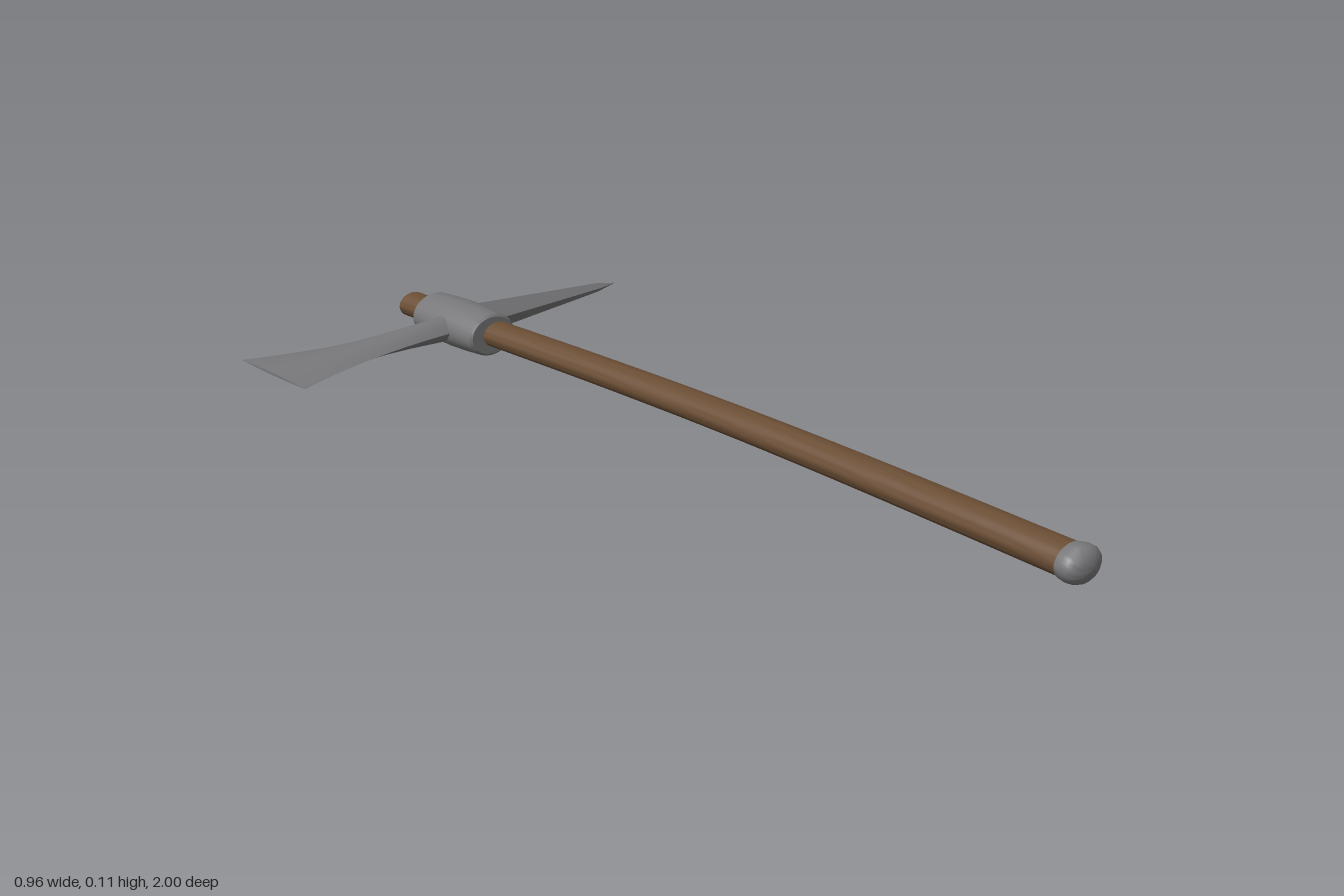
import * as THREE from 'three';
import { toCreasedNormals } from 'three/addons/utils/BufferGeometryUtils.js';

const MID_Y = 0.055;
const HEAD_Z = -0.803;

// Skins a list of closed rings (counter-clockwise about the travel direction) and caps both ends.
function loft(rings, crease) {
  const n = rings[0].length;
  const points = rings.flat();
  const index = [];
  for (let i = 0; i < rings.length - 1; i++) {
    for (let j = 0; j < n; j++) {
      const a = i * n + j, b = i * n + (j + 1) % n;
      index.push(a, b, b + n, a, b + n, a + n);
    }
  }
  const last = (rings.length - 1) * n;
  for (let j = 1; j < n - 1; j++) {
    index.push(0, j + 1, j, last, last + j, last + j + 1);
  }
  const geometry = new THREE.BufferGeometry().setFromPoints(points);
  geometry.setIndex(index);
  return toCreasedNormals(geometry, crease);
}

// Elliptical ring in the xy plane
function ellipse(z, x, rx, ry, sides = 32) {
  return Array.from({ length: sides }, (_, j) => {
    const a = (j / sides) * Math.PI * 2;
    return new THREE.Vector3(x + rx * Math.cos(a), MID_Y + ry * Math.sin(a), z);
  });
}

// Sharp-edged lens ring in the yz plane
function lens(x, halfWidth, halfThick, steps = 8) {
  const ring = [];
  for (const side of [1, -1]) {
    for (let j = 0; j < steps; j++) {
      const s = side * (-1 + (2 * j) / steps);
      ring.push(new THREE.Vector3(x, MID_Y + side * halfThick * (1 - s * s), HEAD_Z + s * halfWidth));
    }
  }
  return ring;
}

export function createModel() {
  const model = new THREE.Group();
  const wood = new THREE.MeshStandardMaterial({ color: 0x6b4e35 });
  const steel = new THREE.MeshStandardMaterial({ color: 0x78787a });
  wood.name = 'wood';
  steel.name = 'steel';

  const add = (name, geometry, material) => {
    const mesh = new THREE.Mesh(geometry, material);
    mesh.name = name;
    model.add(mesh);
  };

  // Gently bowed oval handle
  const bow = new THREE.SplineCurve([
    [-1, 0.028], [-0.7, 0.039], [-0.35, 0.053], [0, 0.059], [0.3, 0.055], [0.6, 0.044], [0.96, 0.027],
  ].map(([z, x]) => new THREE.Vector2(z, x)));
  const handleRings = bow.getPoints(30).map((p, i) => {
    const t = i / 30;
    return ellipse(p.x, p.y, 0.037 + 0.005 * t, 0.028 + 0.005 * t);
  });
  add('handle', loft(handleRings, 0.6), wood);

  // Domed cap on the end of the handle
  const capRings = [
    [0.95, 0.046, 0.034], [0.965, 0.049, 0.037], [0.978, 0.048, 0.036],
    [0.987, 0.042, 0.032], [0.995, 0.029, 0.023], [1, 0.01, 0.008],
  ].map(([z, rx, ry]) => ellipse(z, 0.027, rx, ry));
  add('buttCap', loft(capRings, 0.75), steel);

  // Barrel-shaped socket around the handle
  const socketRings = [
    [-0.112, 0.057, 0.043], [-0.107, 0.062, 0.048], [-0.06, 0.065, 0.051], [0, 0.067, 0.053],
    [0.06, 0.065, 0.051], [0.107, 0.062, 0.048], [0.112, 0.057, 0.043],
  ].map(([z, rx, ry]) => ellipse(HEAD_Z + z, 0.027, rx, ry));
  add('socket', loft(socketRings, 0.6), steel);

  // Blade flaring toward a thin cutting edge
  const bladeRings = [];
  for (let i = 0; i <= 14; i++) {
    const t = i / 14;
    bladeRings.push(lens(-0.48 + 0.48 * t, 0.038 + 0.087 * Math.pow(1 - t, 2.1), 0.003 + 0.028 * t));
  }
  add('blade', loft(bladeRings, 0.6), steel);

  // Four-sided spike opposite the blade
  const spikeRings = [
    [0.07, 0.039, 0.031], [0.085, 0.038, 0.03], [0.43, 0.011, 0.01], [0.48, 0.001, 0.001],
  ].map(([x, h, w]) => [[h, 0], [0, w], [-h, 0], [0, -w]]
    .map(([y, z]) => new THREE.Vector3(x, MID_Y + y, HEAD_Z + z)));
  add('spike', loft(spikeRings, 0.3), steel);

  return model;
}
